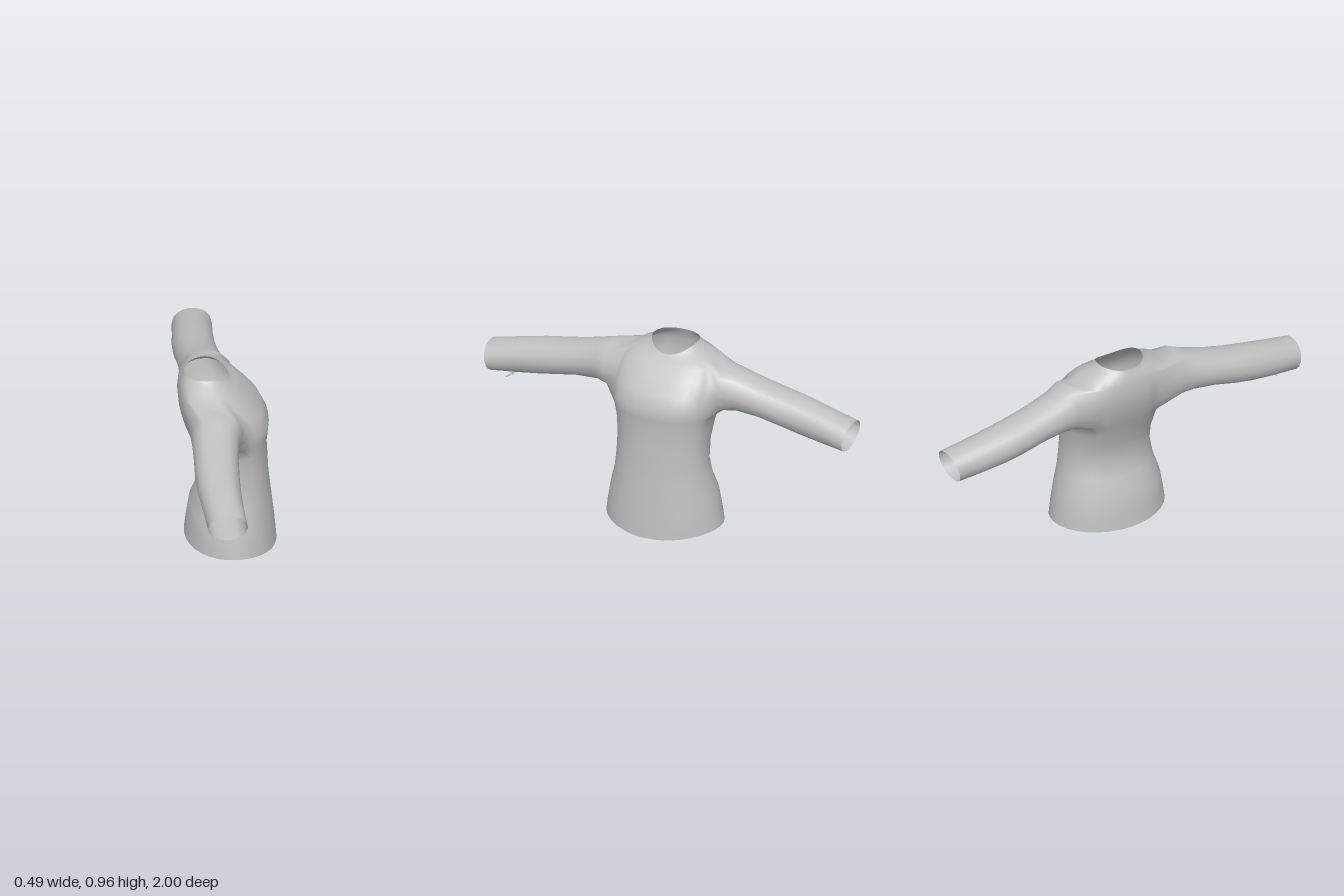
import * as THREE from 'three';

const COLS = 32;
const CENTRE_Z = -0.015;

// Torso rows: height, back x, front x, half depth in z, roundness, drop at front, drop at back
const ROWS = [
  [0.035, -0.215, 0.24, 0.305, 1, 0.035, 0.01],
  [0.1, -0.205, 0.232, 0.295, 0.97, 0.01, 0],
  [0.2, -0.19, 0.22, 0.277, 0.95, 0, 0],
  [0.29, -0.15, 0.21, 0.25, 0.92, 0, 0],
  [0.38, -0.125, 0.2, 0.238, 0.9, 0, 0],
  [0.48, -0.145, 0.195, 0.235, 0.87, 0, 0],
  [0.57, -0.175, 0.19, 0.245, 0.83, 0, 0],
  [0.63, -0.2, 0.195, 0.258, 0.8, 0, 0],
  [0.69, -0.222, 0.2, 0.264, 0.77, 0, 0],
  [0.76, -0.24, 0.165, 0.267, 0.75, 0, 0],
  [0.82, -0.245, 0.11, 0.265, 0.75, 0, 0],
  [0.875, -0.24, 0.06, 0.25, 0.78, 0.005, 0],
  [0.907, -0.23, 0.038, 0.2, 0.85, 0.02, 0],
  [0.928, -0.222, 0.022, 0.15, 0.95, 0.03, 0],
  [0.957, -0.215, 0.01, 0.12, 1, 0.047, 0.012],
];

// Armhole: the block of torso faces replaced by a sleeve
const HOLE = { r0: 7, r1: 11, c0: 6, c1: 13 };

// Sleeve sections: z, back x, front x, bottom y, top y
const SLEEVE = [
  [0.31, -0.212, 0.05, 0.642, 0.882],
  [0.38, -0.21, 0.022, 0.65, 0.858],
  [0.5, -0.212, 0.008, 0.638, 0.822],
  [0.62, -0.217, 0.002, 0.612, 0.795],
  [0.72, -0.212, 0, 0.592, 0.777],
  [0.84, -0.2, 0.002, 0.575, 0.75],
  [1.0, -0.188, 0.01, 0.562, 0.716],
];

const softPow = (v, p) => Math.sign(v) * Math.abs(v) ** p;

function torsoPoint([y, back, front, depth, p, dropFront, dropBack], c) {
  const a = (c / COLS) * Math.PI * 2;
  const cos = Math.cos(a);
  return [
    (front + back) / 2 + ((front - back) / 2) * softPow(cos, p),
    y - cos * cos * (cos > 0 ? dropFront : dropBack),
    CENTRE_Z + depth * softPow(Math.sin(a), p),
  ];
}

// Row and column pairs around the armhole
function armholeLoop() {
  const { r0, r1, c0, c1 } = HOLE;
  const loop = [];
  for (let c = c0; c < c1; c++) loop.push([r0, c]);
  for (let r = r0; r < r1; r++) loop.push([r, c1]);
  for (let c = c1; c > c0; c--) loop.push([r1, c]);
  for (let r = r1; r > r0; r--) loop.push([r, c0]);
  return loop;
}

function shirtGeometry() {
  const pos = [];
  const index = [];
  const quad = (a, b, c, d, flip) =>
    flip ? index.push(a, c, b, a, d, c) : index.push(a, b, c, a, c, d);
  const id = (r, c) => r * COLS + ((c + COLS) % COLS);

  // Torso, leaving both armholes open
  ROWS.forEach((row) => {
    for (let c = 0; c < COLS; c++) pos.push(...torsoPoint(row, c));
  });
  const { r0, r1, c0, c1 } = HOLE;
  for (let r = 0; r < ROWS.length - 1; r++) {
    for (let c = 0; c < COLS; c++) {
      const inRows = r >= r0 && r < r1;
      const inCols = (c >= c0 && c < c1) || (c >= COLS - c1 && c < COLS - c0);
      if (inRows && inCols) continue;
      quad(id(r, c), id(r + 1, c), id(r + 1, c + 1), id(r, c + 1), false);
    }
  }

  // Sleeves, each growing out of its armhole edge
  const loop = armholeLoop();
  const n = loop.length;
  for (const side of [1, -1]) {
    let previous = loop.map(([r, c]) => id(r, side > 0 ? c : COLS - c));
    SLEEVE.forEach(([z, back, front, low, high], i) => {
      const ring = loop.map(([r, c]) => {
        const u = (c - (c0 + c1) / 2) / ((c1 - c0) / 2);
        const v = (r - (r0 + r1) / 2) / ((r1 - r0) / 2);
        const a = Math.atan2(v, u);
        const slant = i === SLEEVE.length - 1 ? 0.015 * (1 - Math.sin(a)) : 0;
        pos.push(
          (front + back) / 2 - ((front - back) / 2) * Math.cos(a),
          (low + high) / 2 + ((high - low) / 2) * Math.sin(a),
          side * (z - slant),
        );
        return pos.length / 3 - 1;
      });
      for (let j = 0; j < n; j++) {
        const k = (j + 1) % n;
        quad(previous[j], ring[j], ring[k], previous[k], side < 0);
      }
      previous = ring;
    });
  }

  const geometry = new THREE.BufferGeometry();
  geometry.setAttribute('position', new THREE.Float32BufferAttribute(pos, 3));
  geometry.setIndex(index);
  geometry.computeVertexNormals();
  return geometry;
}

export function createModel() {
  const group = new THREE.Group();
  group.name = 'longSleeveShirt';
  const cloth = new THREE.MeshStandardMaterial({ color: 0xc0c0c0, side: THREE.DoubleSide });
  cloth.name = 'grey cloth';

  const shirt = new THREE.Mesh(shirtGeometry(), cloth);
  shirt.name = 'shirtBody';
  group.add(shirt);

  // Small loose threads under the cuff
  for (const tilt of [0.2, -0.25]) {
    const thread = new THREE.Mesh(new THREE.BoxGeometry(0.09, 0.005, 0.008), cloth);
    thread.name = 'cuffThread';
    thread.position.set(-0.08, 0.564, 0.87);
    thread.rotation.set(0, tilt * 2, tilt);
    group.add(thread);
  }
  return group;
}
